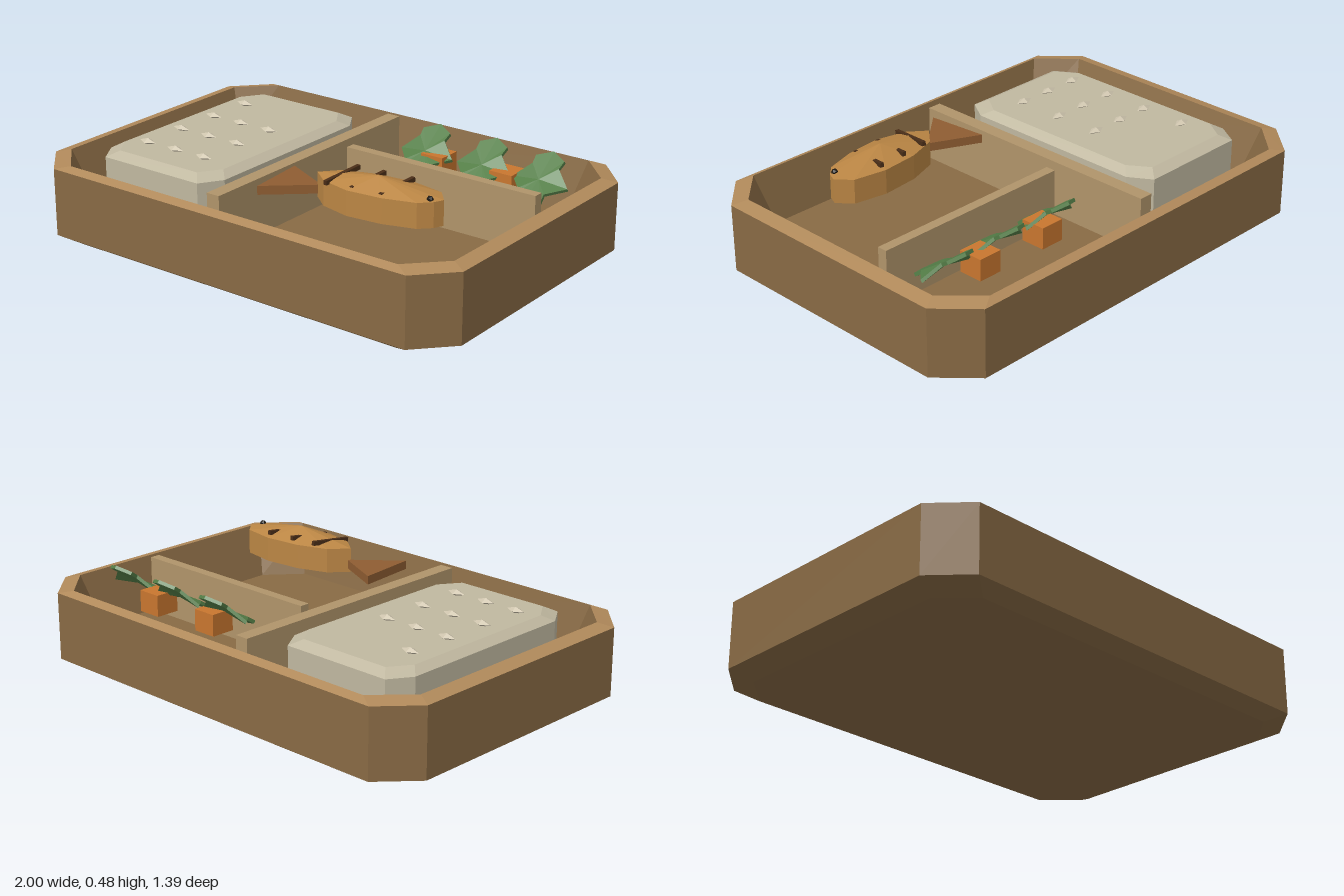
import * as THREE from 'three';

const mat = (color) => new THREE.MeshStandardMaterial({ color, flatShading: true });
const wood = mat(0x886a44), rimWood = mat(0xb0895a), dividerWood = mat(0xb0946a);
const rice = mat(0xc0b8a0), seed = mat(0xcfc5ae);
const fishSkin = mat(0xbb8644), finSkin = mat(0x8f5d32), char = mat(0x4a2e18), dark = mat(0x1c1712);
const leafGreen = mat(0x557f48), carrotOrange = mat(0xc8762f);

// Skin through rings of [x, y, z] points (counter-clockwise from above), with optional apex caps
function loft(rings, bottom, top) {
  const pos = [];
  const tri = (...pts) => pts.forEach((p) => pos.push(...p));
  const n = rings[0].length, last = rings[rings.length - 1];
  for (let j = 0; j < n; j++) {
    const k = (j + 1) % n;
    if (bottom) tri(bottom, rings[0][k], rings[0][j]);
    if (top) tri(top, last[j], last[k]);
    for (let i = 0; i + 1 < rings.length; i++) {
      const a = rings[i], b = rings[i + 1];
      tri(a[j], a[k], b[k]);
      tri(a[j], b[k], b[j]);
    }
  }
  const g = new THREE.BufferGeometry();
  g.setAttribute('position', new THREE.Float32BufferAttribute(pos, 3));
  g.computeVertexNormals();
  return g;
}

// Rectangle with cut corners at height y
function octagon(hx, hz, cx, cz, y, ox = 0) {
  const ix = hx - cx, iz = hz - cz;
  return [[-ix, hz], [ix, hz], [hx, iz], [hx, -iz], [ix, -hz], [-ix, -hz], [-hx, -iz], [-hx, iz]]
    .map(([x, z]) => [x + ox, y, z]);
}

const atHeight = (outline, y) => outline.map(([x, z]) => [x, y, z]);

export function createModel() {
  const model = new THREE.Group();
  const add = (name, geometry, material, parent = model) => {
    const mesh = new THREE.Mesh(geometry, material);
    mesh.name = name;
    parent.add(mesh);
    return mesh;
  };
  const addBox = (name, material, x0, x1, y0, y1, z0, z1) => {
    const mesh = add(name, new THREE.BoxGeometry(x1 - x0, y1 - y0, z1 - z0), material);
    mesh.position.set((x0 + x1) / 2, (y0 + y1) / 2, (z0 + z1) / 2);
    return mesh;
  };

  // Tray: bevelled foot and straight sides, a paler sloping rim, tapered inner wall with floor
  const floor = 0.125;
  const rimOuter = octagon(1, 0.693, 0.14, 0.15, 0.325);
  const rimInner = octagon(0.94, 0.657, 0.14, 0.145, 0.34);
  add('trayShell', loft([
    octagon(0.91, 0.63, 0.13, 0.13, 0),
    octagon(1, 0.693, 0.14, 0.15, 0.04),
    rimOuter,
  ], [0, 0, 0]), wood);
  add('trayRim', loft([rimOuter, rimInner]), rimWood);
  add('trayInside', loft([rimInner, octagon(0.865, 0.605, 0.125, 0.145, floor)], null, [0, floor, 0]), wood);

  // Dividers
  addBox('longDivider', dividerWood, -0.145, -0.085, floor - 0.01, 0.36, -0.59, 0.585);
  addBox('crossDivider', dividerWood, -0.03, 0.865, floor - 0.01, 0.36, -0.19, -0.147);

  // Rice block with a bevelled top
  const rx = -0.515;
  add('riceBlock', loft([
    octagon(0.305, 0.5, 0.06, 0.095, floor, rx),
    octagon(0.305, 0.5, 0.06, 0.095, 0.342, rx),
    octagon(0.265, 0.455, 0.06, 0.09, 0.366, rx),
  ], [rx, floor, 0], [rx, 0.366, 0]), rice);

  // Seeds: three full rows and a single one at the back
  const seedShape = new THREE.OctahedronGeometry(1).scale(0.042, 0.014, 0.024);
  for (let row = 0; row < 4; row++) {
    for (let col = 0; col < (row === 0 ? 1 : 3); col++) {
      add('seed', seedShape, seed).position.set(-0.69 + col * 0.15, 0.375, -0.288 + row * 0.204);
    }
  }

  // Fish: faceted body with a peaked back
  const fish = new THREE.Group();
  fish.name = 'fish';
  model.add(fish);
  const body = [[0.175, 0.31], [0.25, 0.37], [0.38, 0.4], [0.53, 0.385], [0.66, 0.345], [0.705, 0.3],
    [0.722, 0.26], [0.67, 0.2], [0.53, 0.175], [0.37, 0.19], [0.24, 0.235]];
  add('fishBody', loft([atHeight(body, 0.335), atHeight(body, 0.437)],
    [0.45, 0.335, 0.29], [0.45, 0.482, 0.295]), fishSkin, fish);
  const tail = [[-0.02, 0.205], [0.005, 0.465], [0.19, 0.305]];
  add('fishTail', loft([atHeight(tail, 0.35), atHeight(tail, 0.386)],
    [0.06, 0.35, 0.32], [0.06, 0.386, 0.32]), finSkin, fish);
  const eye = add('fishEye', new THREE.IcosahedronGeometry(0.014, 0), dark, fish);
  eye.position.set(0.685, 0.443, 0.296);

  // Grill marks sunk into the back of the fish, dipping towards the front
  [[0.285, 0.3], [0.4, 0.29], [0.525, 0.28]].forEach(([x, z]) => {
    const mark = add('grillMark', new THREE.BoxGeometry(0.016, 0.018, 0.184), char, fish);
    mark.position.set(x, 0.447, z);
    mark.rotation.set(0.09, -0.12, 0);
  });

  // Carrot pieces
  for (const x of [0.257, 0.587]) addBox('carrot', carrotOrange, x - 0.055, x + 0.05, 0.24, 0.33, -0.445, -0.34);

  // Lobed leaves leaning up towards the back, side tips drooping
  const quarter = [[0, 0.14], [0.065, 0.105], [0.06, 0.065], [0.125, 0]];
  const half = [...quarter, ...quarter.slice(1, 3).reverse().map(([x, z]) => [x, -z])];
  const leafOutline = [...half, ...half.map(([x, z]) => [-x, -z])];
  const leafRing = (y) => leafOutline.map(([x, z]) => [x, z === 0 ? y - 0.025 : y, z]);
  const leafShape = loft([leafRing(-0.007), leafRing(0.007)], [0, -0.012, 0], [0, 0.002, 0]);
  for (const x of [0.205, 0.48, 0.745]) {
    const leaf = add('leaf', leafShape, leafGreen);
    leaf.position.set(x, 0.333, -0.366);
    leaf.rotation.x = 0.6;
  }
  return model;
}
